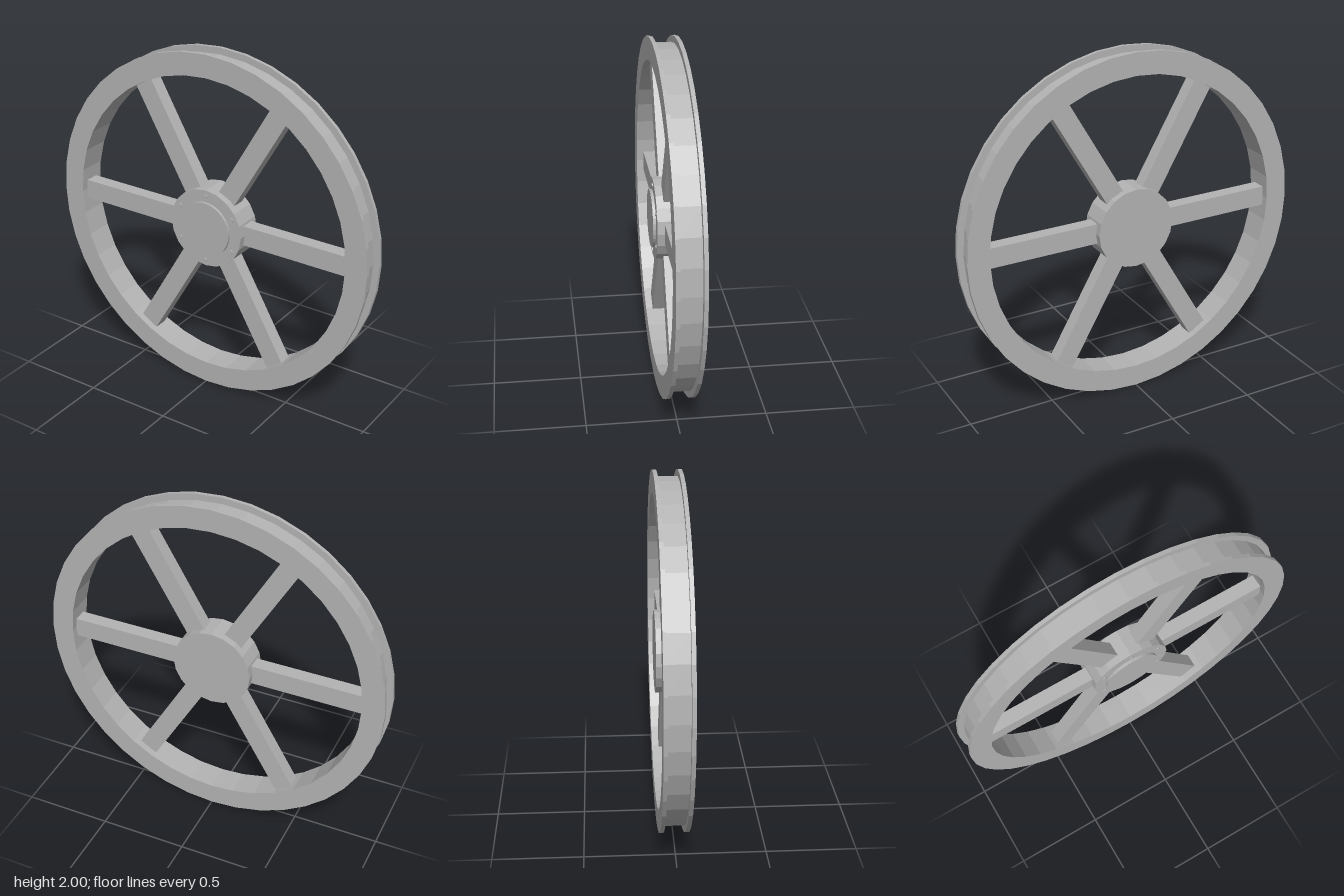
import * as THREE from 'three';

export function createModel() {
  const model = new THREE.Group();
  model.name = 'spokedWheel';
  const metal = new THREE.MeshStandardMaterial({ color: 0xb3b3b3 });
  metal.name = 'greyMetal';
  metal.flatShading = true;

  const BACK = -0.088, FACE = 0.072, MID = (BACK + FACE) / 2;

  const add = (name, geometry, parent = model) => {
    const mesh = new THREE.Mesh(geometry, metal);
    mesh.name = name;
    parent.add(mesh);
    return mesh;
  };
  // Cylinder along z between two depths
  const disc = (radius, z0, z1, sides) =>
    new THREE.CylinderGeometry(radius, radius, z1 - z0, sides)
      .rotateX(Math.PI / 2).translate(0, 0, (z0 + z1) / 2);

  const wheel = new THREE.Group();
  wheel.name = 'wheel';
  wheel.position.y = 1;
  model.add(wheel);

  // Rim: closed profile with a flange on each side of a shallow groove
  const inner = 0.872, outer = 1, groove = 0.963, flange = 0.022;
  const profile = [
    [inner, BACK], [outer, BACK], [outer, BACK + flange], [groove, BACK + flange],
    [groove, FACE - flange], [outer, FACE - flange], [outer, FACE], [inner, FACE], [inner, BACK],
  ].map(([r, z]) => new THREE.Vector2(r, z));
  add('rim', new THREE.LatheGeometry(profile, 40).rotateX(Math.PI / 2), wheel);

  // Hub with a raised cap on the front
  add('hub', disc(0.23, BACK, FACE, 20), wheel);
  add('hubCap', disc(0.16, FACE - 0.01, 0.088, 32), wheel);

  // Six spokes, with a small bolt on the hub between each pair
  for (let i = 0; i < 6; i++) {
    const angle = i * Math.PI / 3;
    add('spoke', new THREE.BoxGeometry(0.68, 0.115, 0.08)
      .translate(0.54, 0, MID).rotateZ(angle), wheel);
    add('hubBolt', disc(0.013, FACE - 0.005, FACE + 0.006, 6)
      .translate(0.195, 0, 0).rotateZ(angle + Math.PI / 6), wheel);
  }
  return model;
}
